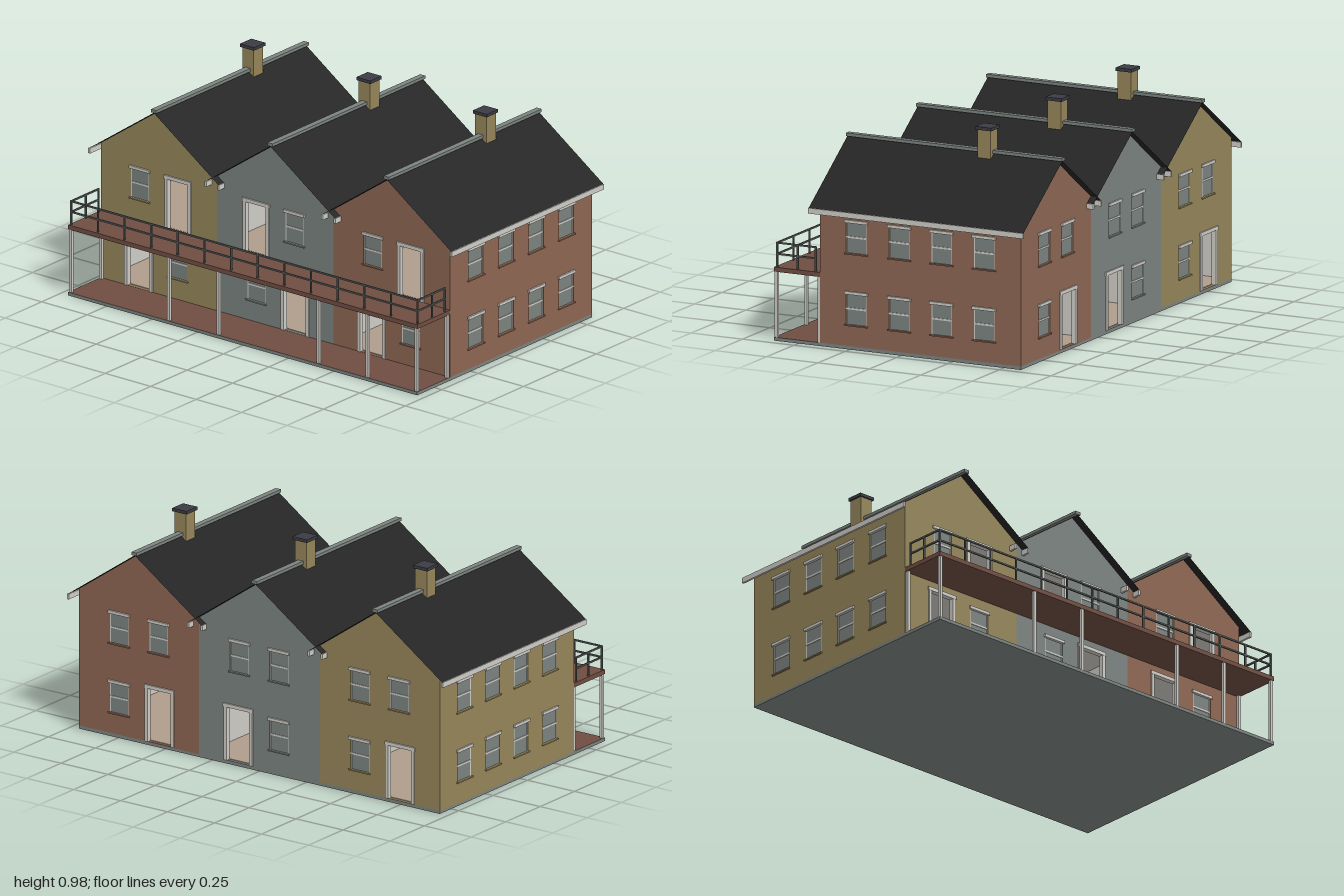
import * as THREE from 'three';

const mat = (name, color, side = THREE.FrontSide) => {
  const m = new THREE.MeshStandardMaterial({ color, side });
  m.name = name;
  return m;
};

export function createModel() {
  const ochre = mat('ochre', 0x96865a), grey = mat('grey', 0x7c8480), brick = mat('brick', 0x8e6753);
  const roofBlack = mat('roofBlack', 0x232323, THREE.DoubleSide);
  const white = mat('offWhite', 0xd0cec8, THREE.DoubleSide);
  const deckBrown = mat('deckBrown', 0x704e42), floorTan = mat('floorTan', 0xb09c8b);
  const capDark = mat('capDark', 0x3b3b44), railGrey = mat('railGrey', 0x565c5a);

  const root = new THREE.Group();
  root.name = 'terraceOfHouses';

  const FRONT = 0.393, BACK = -0.583, HALF = 0.32, EAVE = 0.635, RIDGE = 0.857, BASE = 0.012;
  const MIDZ = (FRONT + BACK) / 2, DEPTH = FRONT - BACK;

  const group = (parent, name) => {
    const g = new THREE.Group();
    g.name = name;
    parent.add(g);
    return g;
  };
  const box = (parent, name, m, w, h, d, x, y, z) => {
    const b = new THREE.Mesh(new THREE.BoxGeometry(w, h, d), m);
    b.name = name;
    b.position.set(x, y, z);
    parent.add(b);
    return b;
  };

  // Openings are [u, bottom, width, height, isDoor] in the wall's own plane
  const UP = 0.425, DOWN = 0.11;
  const windowAt = (u, y) => [u, y, 0.1, 0.14, false];
  const groundDoor = u => [u, 0.016, 0.125, 0.244, true];
  const upperDoor = u => [u, 0.326, 0.115, 0.232, true];

  const addWindow = (wall, [u, y, w, h], wallMat) => {
    const g = group(wall, 'window');
    box(g, 'glass', grey, w, h, 0.006, u, y + h / 2, -0.007);
    box(g, 'meetingBar', white, w, 0.008, 0.012, u, y + h / 2, -0.007);
    for (const s of [-1, 1]) box(g, 'sashSide', white, 0.004, h, 0.01, u + s * (w / 2 - 0.002), y + h / 2, -0.007);
    box(g, 'lintel', white, w + 0.013, 0.013, 0.016, u, y + h, 0);
    box(g, 'sill', wallMat, w + 0.013, 0.006, 0.016, u, y - 0.003, 0);
  };
  const addDoorFrame = (wall, [u, y, w, h]) => {
    const g = group(wall, 'doorFrame');
    for (const s of [-1, 1]) box(g, 'jamb', white, 0.016, h, 0.022, u + s * (w / 2 + 0.006), y + h / 2, -0.005);
    box(g, 'doorHead', white, w + 0.034, 0.016, 0.024, u, y + h + 0.006, -0.005);
  };

  // Wall with real openings, pale lining inside, outside facing local +z
  const addWall = (parent, name, outline, openings, wallMat) => {
    const g = group(parent, name);
    const shape = new THREE.Shape(outline.map(p => new THREE.Vector2(...p)));
    for (const [u, y, w, h] of openings) {
      shape.holes.push(new THREE.Path([[-1, 0], [-1, 1], [1, 1], [1, 0]]
        .map(([a, b]) => new THREE.Vector2(u + a * w / 2, y + b * h))));
    }
    const skin = new THREE.Mesh(new THREE.ExtrudeGeometry(shape, { depth: 0.015, bevelEnabled: false }), wallMat);
    skin.name = 'wallSkin';
    skin.position.z = -0.015;
    const lining = new THREE.Mesh(new THREE.ShapeGeometry(shape), white);
    lining.name = 'wallLining';
    lining.position.z = -0.0165;
    g.add(skin, lining);
    for (const o of openings) o[4] ? addDoorFrame(g, o) : addWindow(g, o, wallMat);
    return g;
  };

  // Ground slab: grey edges, brown paving on top
  box(root, 'groundSlab', [grey, grey, deckBrown, grey, grey, grey], 1.92, 0.015, 1.202, 0, 0.0075, 0.018);

  // Three gabled houses; dir flips the arrangement of doors and windows
  const gable = [[-HALF, BASE], [HALF, BASE], [HALF, EAVE], [0, RIDGE], [-HALF, EAVE]];
  const houses = [[-0.64, ochre, 1, 'leftHouse'], [0, grey, -1, 'middleHouse'], [0.64, brick, 1, 'rightHouse']];
  for (const [cx, wallMat, dir, name] of houses) {
    const h = group(root, name);
    h.position.x = cx;
    const a = 0.105 * dir;
    addWall(h, 'frontWall', gable,
      [windowAt(-a, UP), upperDoor(a), groundDoor(-a * 1.05), windowAt(a, DOWN)], wallMat).position.z = FRONT;
    const back = addWall(h, 'backWall', gable,
      [windowAt(-a, UP), windowAt(a, UP), groundDoor(a * 1.05), windowAt(-a, DOWN)], wallMat);
    back.position.z = BACK;
    back.rotation.y = Math.PI;

    // Interior floors and ceiling
    const inW = 0.606, inD = DEPTH - 0.036;
    box(h, 'groundFloor', floorTan, inW, 0.004, inD, 0, 0.0155, MIDZ);
    box(h, 'upperFloor', [white, white, floorTan, white, white, white], inW, 0.02, inD, 0, 0.315, MIDZ);
    box(h, 'ceiling', white, inW, 0.006, inD, 0, 0.583, MIDZ);

    // Thin roof slopes, running past the walls, with gutters
    const reach = 0.36, slope = (RIDGE - EAVE) / HALF, len = reach * Math.hypot(1, slope);
    for (const s of [-1, 1]) {
      const geo = new THREE.PlaneGeometry(len, 1.045);
      geo.rotateX(-Math.PI / 2);
      const plane = new THREE.Mesh(geo, roofBlack);
      plane.name = 'roofSlope';
      plane.rotation.z = -s * Math.atan(slope);
      plane.position.set(s * reach / 2, RIDGE + 0.002 - slope * reach / 2, -0.0925);
      h.add(plane);
      box(h, 'gutter', white, 0.01, 0.024, 1.045, s * 0.355, 0.6, -0.0925);
    }
    box(h, 'ridgeCap', grey, 0.028, 0.014, 1.05, 0, 0.866, -0.094);

    // Chimney
    box(h, 'chimney', ochre, 0.062, 0.14, 0.065, 0, 0.893, -0.25);
    box(h, 'chimneyCap', capDark, 0.077, 0.014, 0.078, 0, 0.969, -0.25);
  }

  // Outer side walls with four windows on each storey
  const sideHalf = DEPTH / 2 - 0.015;
  const sideOutline = [[-sideHalf, BASE], [sideHalf, BASE], [sideHalf, EAVE], [-sideHalf, EAVE]];
  for (const s of [-1, 1]) {
    const openings = [0.217, 0.008, -0.198, -0.405].flatMap(z =>
      [UP, DOWN].map(y => windowAt(-s * (z - MIDZ), y)));
    const wall = addWall(root, s > 0 ? 'leftSideWall' : 'rightSideWall', sideOutline, openings, s > 0 ? brick : ochre);
    wall.position.set(s * 0.96, 0, MIDZ);
    wall.rotation.y = s * Math.PI / 2;
    // Party wall between neighbours
    box(root, 'partyWall', white, 0.03, 0.57, DEPTH - 0.036, s * HALF, 0.3, MIDZ);
  }

  // Balcony deck on slim posts
  const balcony = group(root, 'balcony');
  box(balcony, 'balconyDeck', deckBrown, 1.92, 0.02, 0.225, 0, 0.314, 0.5055);
  const post = (x, z) => box(balcony, 'post', white, 0.014, 0.29, 0.014, x, 0.159, z);
  for (const x of [-0.95, -0.41, -0.138, 0.41, 0.68, 0.95]) post(x, 0.609);
  for (const x of [-0.95, 0.95]) post(x, 0.402);

  // Railing
  const T = 0.007;
  for (let i = 0; i < 14; i++)
    box(balcony, 'railPost', railGrey, T, 0.11, T, -0.952 + i * 1.904 / 13, 0.379, 0.606);
  for (const y of [0.431, 0.382]) {
    box(balcony, 'frontRail', railGrey, 1.91, T, T, 0, y, 0.606);
    for (const s of [-1, 1]) box(balcony, 'sideRail', railGrey, T, T, 0.19, s * 0.952, y, 0.511);
  }
  for (const s of [-1, 1])
    for (const z of [0.507, 0.419]) box(balcony, 'sideRailPost', railGrey, T, 0.11, T, s * 0.952, 0.379, z);

  return root;
}
